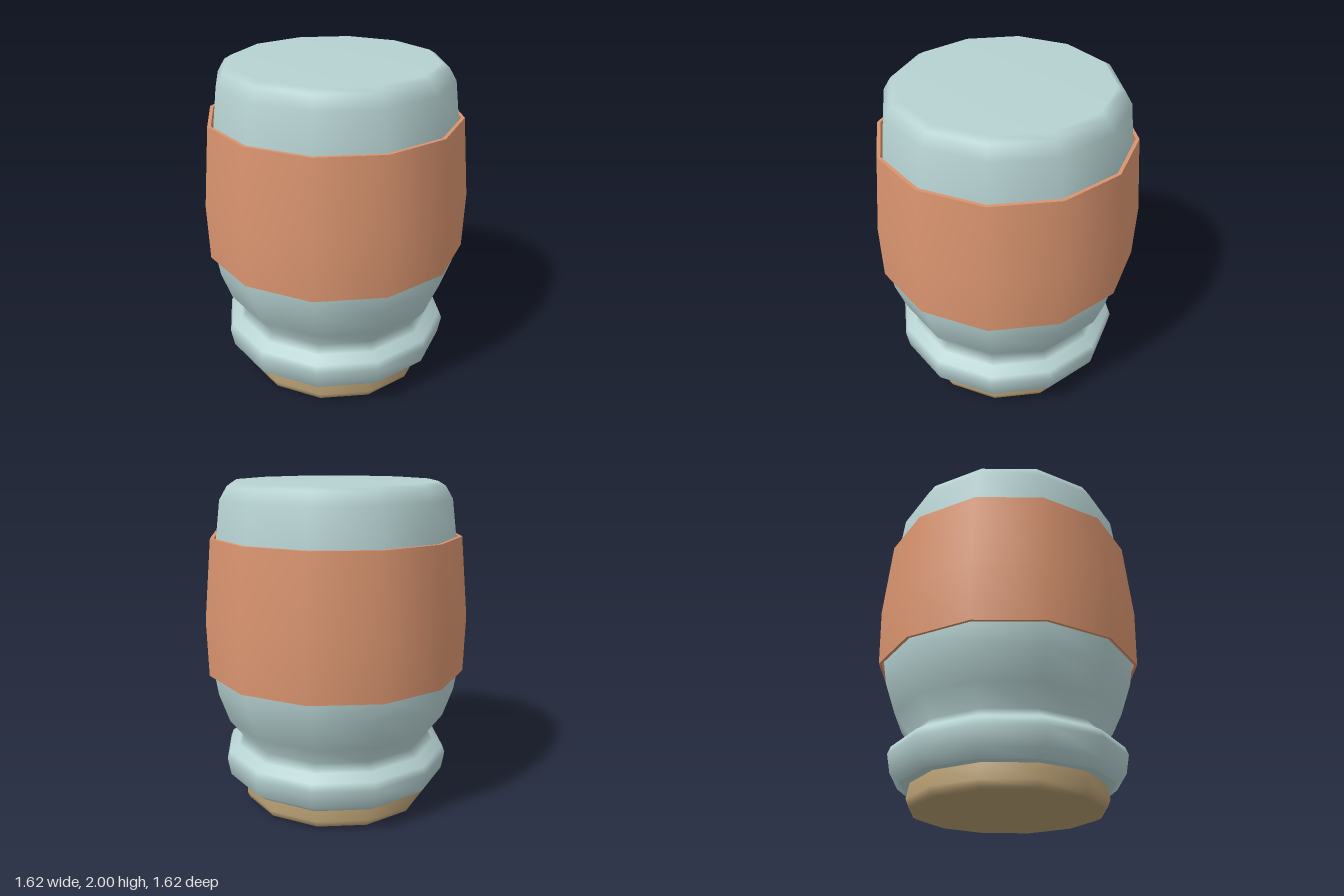
import * as THREE from 'three';
import { mergeGeometries } from 'three/addons/utils/BufferGeometryUtils.js';

const SIDES = 12;

// Each profile is a list of [radius, y]; separate profiles meet in a sharp edge.
function turned(name, material, ...profiles) {
  const parts = profiles.map((p) =>
    new THREE.LatheGeometry(p.map(([r, y]) => new THREE.Vector2(r, y)), SIDES));
  const mesh = new THREE.Mesh(mergeGeometries(parts), material);
  mesh.name = name;
  return mesh;
}

function paint(name, color) {
  const material = new THREE.MeshStandardMaterial({ color });
  material.name = name;
  return material;
}

export function createModel() {
  const blue = paint('pale blue', 0xb6d1d1);
  const copper = paint('copper orange', 0xd9946f);
  const tan = paint('tan', 0xb59c71);
  const group = new THREE.Group();
  group.name = 'jar';

  // Low foot with a softened lower edge
  group.add(turned('foot', tan,
    [[0, 0], [0.56, 0], [0.58, 0.012], [0.595, 0.05], [0.575, 0.15]]));

  // Rounded collar, narrow neck, bulging wall and flat top
  group.add(turned('body', blue,
    [[0, 0.142], [0.635, 0.142]],
    [[0.635, 0.142], [0.695, 0.19], [0.715, 0.3], [0.698, 0.345], [0.635, 0.38],
      [0.6, 0.43], [0.69, 0.55], [0.752, 0.73], [0.772, 0.86], [0.785, 1.2],
      [0.73, 1.68], [0.702, 1.9], [0.657, 1.975], [0.615, 2], [0, 2]]));

  // Wrapped band with visible thickness at both rims
  const outer = [[0.803, 0.855], [0.811, 1.2], [0.765, 1.682]];
  const inner = [[0.744, 1.682], [0.793, 1.2], [0.785, 0.855]];
  group.add(turned('band', copper,
    outer, inner, [outer[2], inner[0]], [inner[2], outer[0]]));

  return group;
}
